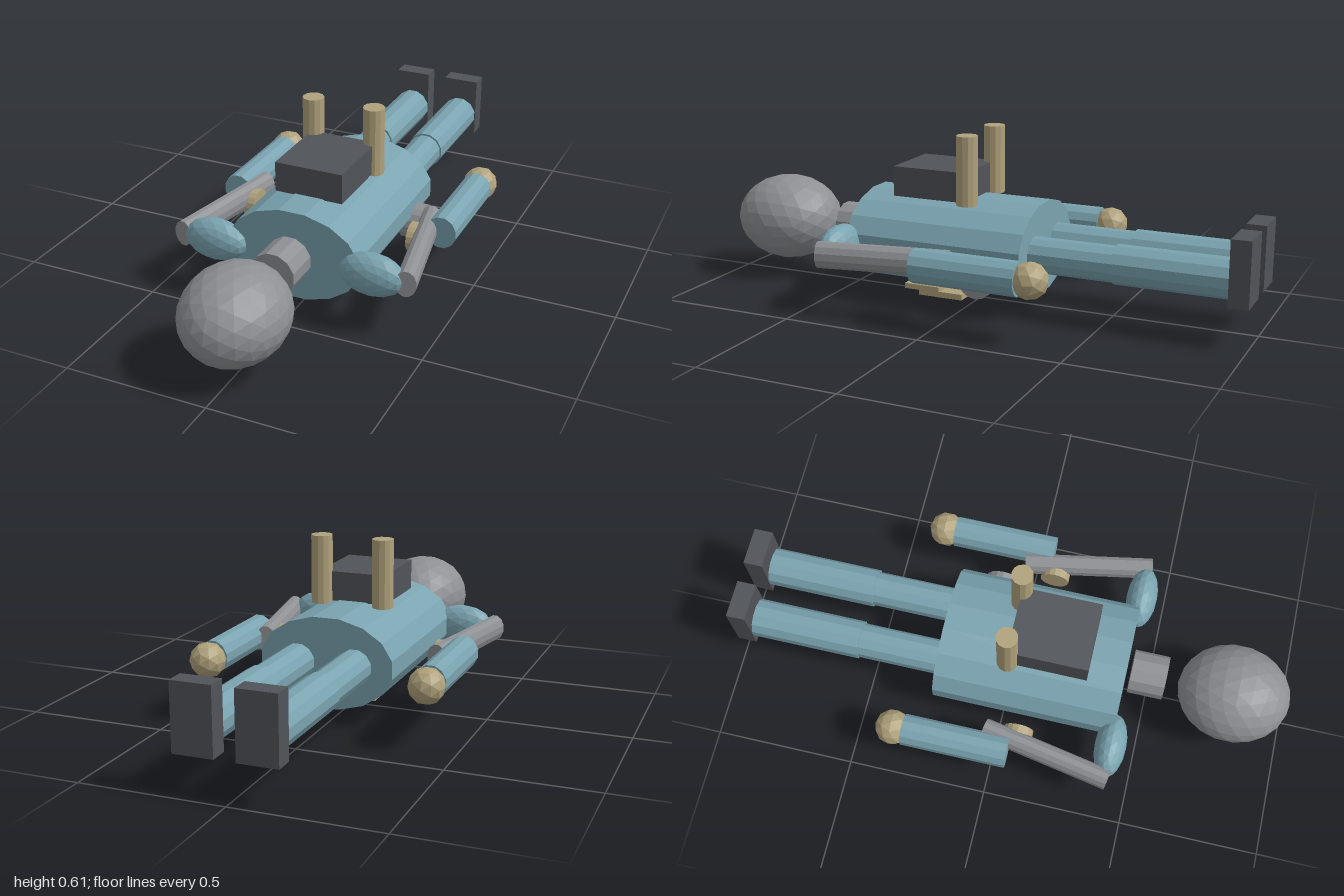
import * as THREE from 'three';

const paint = (color) => new THREE.MeshStandardMaterial({ color, flatShading: true });

export function createModel() {
  const model = new THREE.Group();
  const teal = paint(0x7aa3b0);
  const grey = paint(0x8e9094);
  const dark = paint(0x505359);
  const tan = paint(0xb0a27c);

  function add(name, geometry, material, x, y, z) {
    const mesh = new THREE.Mesh(geometry, material);
    mesh.name = name;
    mesh.position.set(x, y, z);
    model.add(mesh);
    return mesh;
  }
  const box = (name, material, [w, h, d], [x, y, z]) =>
    add(name, new THREE.BoxGeometry(w, h, d), material, x, y, z);

  // Faceted ellipsoid
  const ball = (name, material, [rx, ry, rz], [x, y, z], detail) =>
    add(name, new THREE.IcosahedronGeometry(1, detail).scale(rx, ry, rz), material, x, y, z);

  // Elliptical cylinder lying along z
  function tube(name, material, rx, ry, length, [x, y, z], sides = 12) {
    const geometry = new THREE.CylinderGeometry(1, 1, length, sides)
      .rotateY(Math.PI / sides)
      .rotateX(Math.PI / 2)
      .scale(rx, ry, 1);
    return add(name, geometry, material, x, y, z);
  }

  // Disc whose axis runs along x
  const disc = (name, material, r, width, [x, y, z]) =>
    add(name, new THREE.CylinderGeometry(r, r, width, 16).rotateZ(Math.PI / 2), material, x, y, z);

  // Torso, neck and head
  tube('torso', teal, 0.242, 0.162, 0.655, [0, 0.217, 0.082], 16);
  tube('neck', grey, 0.078, 0.077, 0.125, [0, 0.219, 0.49]);
  ball('head', grey, [0.175, 0.158, 0.2], [0, 0.217, 0.798], 3);

  // Pack, its two canisters, and the chest plates below the torso
  box('backpack', dark, [0.245, 0.106, 0.282], [0, 0.425, 0.141]);
  box('upperChestPlate', tan, [0.156, 0.019, 0.135], [0, 0.03, 0.2]);
  box('lowerChestPlate', tan, [0.14, 0.021, 0.17], [0, 0.0105, 0.13]);
  disc('hipCanister', grey, 0.065, 0.075, [0.235, 0.15, -0.103]);

  // Paired parts
  for (const side of [1, -1]) {
    const tag = side > 0 ? 'left' : 'right';

    add(tag + 'PackCanister', new THREE.CylinderGeometry(0.038, 0.038, 0.243, 12),
      tan, side * 0.114, 0.4865, 0);

    ball(tag + 'Shoulder', teal, [0.116, 0.076, 0.056], [side * 0.286, 0.215, 0.41], 2);

    const upperArm = tube(tag + 'UpperArm', grey, 0.036, 0.047, 0.465, [side * 0.366, 0.214, 0.195]);
    upperArm.rotation.y = side * Math.atan2(0.085, 0.46);

    disc(tag + 'ElbowPad', tan, 0.052, 0.045, [side * 0.313, 0.192, 0.083]);
    tube(tag + 'Forearm', teal, 0.055, 0.059, 0.375, [side * 0.392, 0.216, -0.125]);
    ball(tag + 'Hand', tan, [0.063, 0.063, 0.063], [side * 0.392, 0.216, -0.35], 1);

    tube(tag + 'Thigh', teal, 0.062, 0.062, 0.34, [side * 0.103, 0.216, -0.38]);
    tube(tag + 'Shin', teal, 0.068, 0.068, 0.395, [side * 0.103, 0.217, -0.737]);
    box(tag + 'Boot', dark, [0.136, 0.225, 0.068], [side * 0.104, 0.252, -0.966]);
  }

  return model;
}
